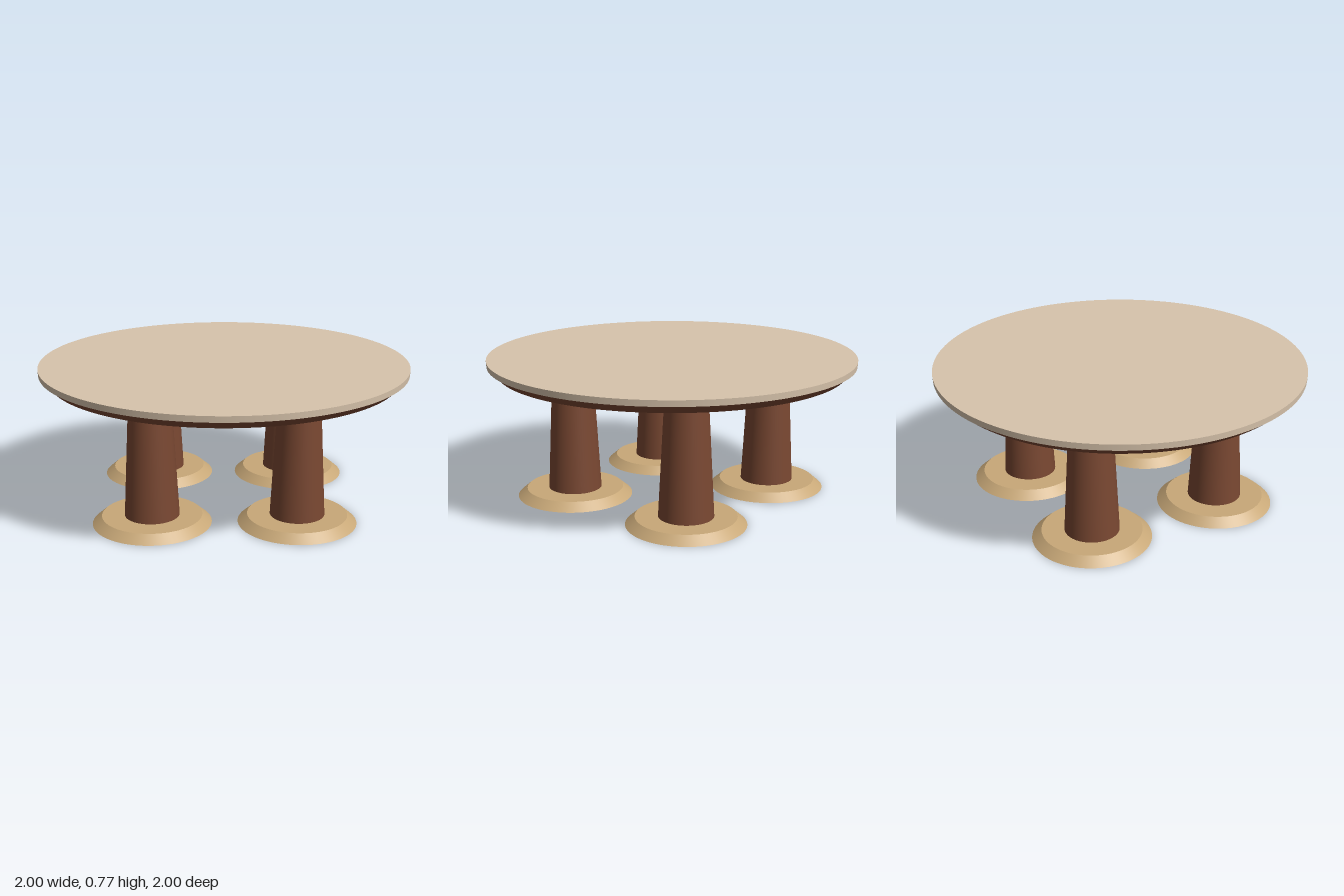
import * as THREE from 'three';

const stone = new THREE.MeshStandardMaterial({ color: 0xd8c4ac });
stone.name = 'pale top';
const wood = new THREE.MeshStandardMaterial({ color: 0x7a4832 });
wood.name = 'dark wood';
const tan = new THREE.MeshStandardMaterial({ color: 0xc8a878 });
tan.name = 'tan trim';

// Closed tapered disc standing from y0 to y1
function frustum(name, rBottom, rTop, y0, y1, material, segments = 64) {
  const geometry = new THREE.CylinderGeometry(rTop, rBottom, y1 - y0, segments);
  geometry.translate(0, (y0 + y1) / 2, 0);
  const mesh = new THREE.Mesh(geometry, material);
  mesh.name = name;
  return mesh;
}

// One pillar with its flared foot and the collar beneath the top
function createLeg() {
  const leg = new THREE.Group();
  leg.name = 'leg';
  leg.add(
    frustum('foot', 0.315, 0.265, 0, 0.043, tan),
    frustum('pillar', 0.145, 0.11, 0.04, 0.695, wood),
    frustum('collar', 0.15, 0.17, 0.685, 0.702, tan)
  );
  return leg;
}

export function createModel() {
  const table = new THREE.Group();
  table.name = 'roundTable';

  // Round top: bevelled wooden base under a pale slab
  const top = new THREE.Group();
  top.name = 'tableTop';
  top.add(
    frustum('topUnderside', 0.945, 0.99, 0.7, 0.743, wood, 128),
    frustum('topSlab', 0.998, 1, 0.743, 0.775, stone, 128)
  );
  table.add(top);

  // Four legs on the axes
  for (let i = 0; i < 4; i++) {
    const angle = (i * Math.PI) / 2;
    const leg = createLeg();
    leg.position.set(0.542 * Math.cos(angle), 0, 0.542 * Math.sin(angle));
    table.add(leg);
  }
  return table;
}
